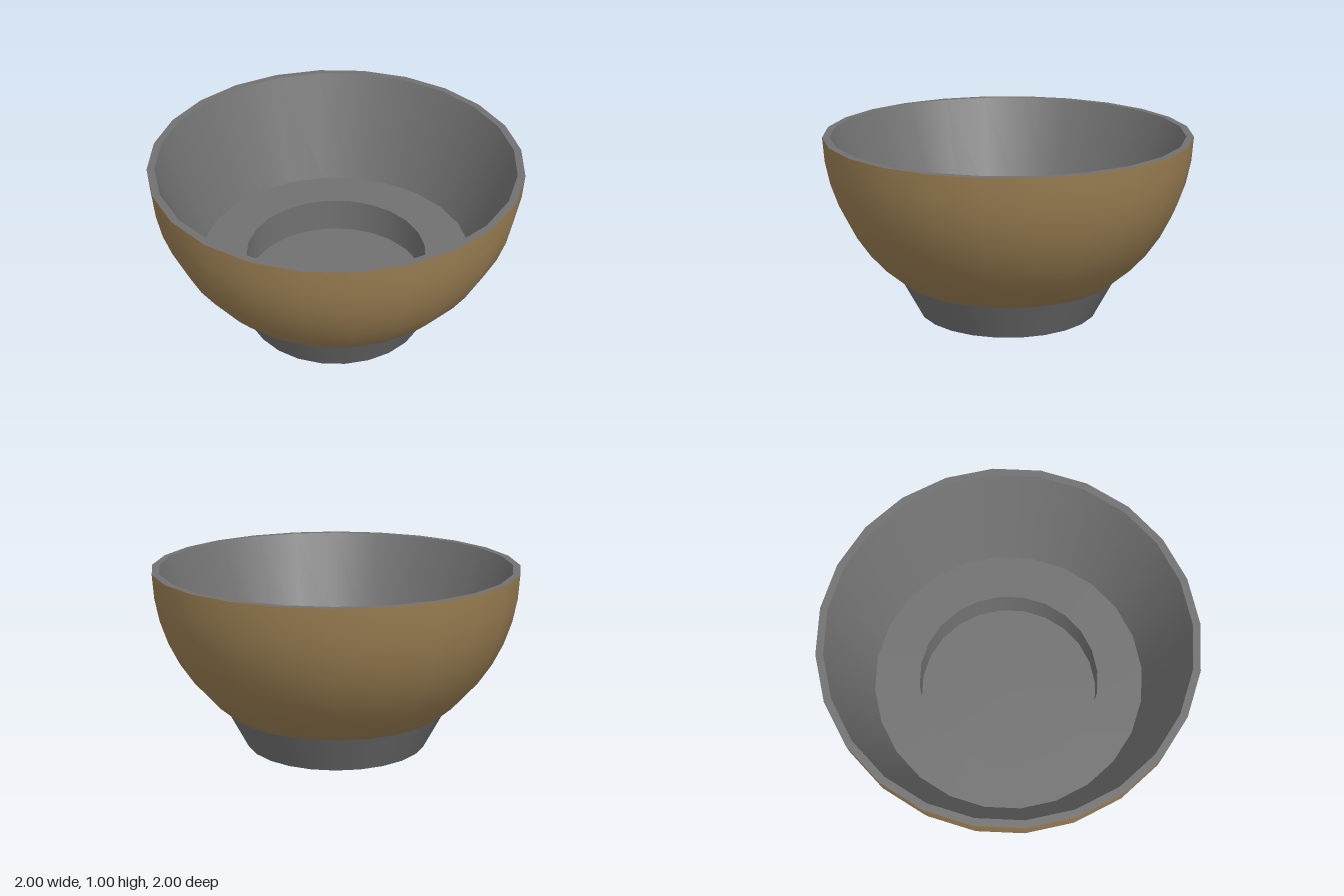
import * as THREE from 'three';

const SIDES = 24;

export function createModel() {
  const group = new THREE.Group();
  group.name = 'bowl';
  const brown = new THREE.MeshStandardMaterial({ name: 'brown glaze', color: 0x9a7e52 });
  const grey = new THREE.MeshStandardMaterial({ name: 'grey clay', color: 0x717171 });

  // Each smooth section is its own lathe, so edges between sections stay sharp
  const turn = (name, material, points) => {
    const profile = points.map(([r, y]) => new THREE.Vector2(r, y));
    const mesh = new THREE.Mesh(new THREE.LatheGeometry(profile, SIDES), material);
    mesh.name = name;
    group.add(mesh);
  };

  // Quarter circle of radius 1 centred at y = 1, from the bottom up
  const RINGS = 12;
  const shell = Array.from({ length: RINGS + 1 }, (_, i) => {
    const a = (Math.PI / 2) * (i / RINGS);
    return [Math.sin(a), 1 - Math.cos(a)];
  });

  // Bowl: outer hemisphere, flat rim and straight tapered inside
  turn('outerShell', brown, shell);
  turn('rim', grey, [[1, 1], [0.96, 1]]);
  turn('innerWall', grey, [[0.96, 1], [0.75, 0.4]]);

  // Inside floor with a round, straight-sided well
  turn('floorRing', grey, [[0.75, 0.4], [0.5, 0.4]]);
  turn('wellWall', grey, [[0.5, 0.4], [0.5, 0.2]]);
  turn('wellFloor', grey, [[0.5, 0.2], [0, 0.2]]);

  // Flared hollow foot, its walls ending inside the shell
  turn('footInside', grey, [[0.51, 0.16], [0.46, 0]]);
  turn('footBase', grey, [[0.46, 0], [0.5, 0]]);
  turn('footOutside', grey, [[0.5, 0], [0.613, 0.215]]);

  return group;
}
